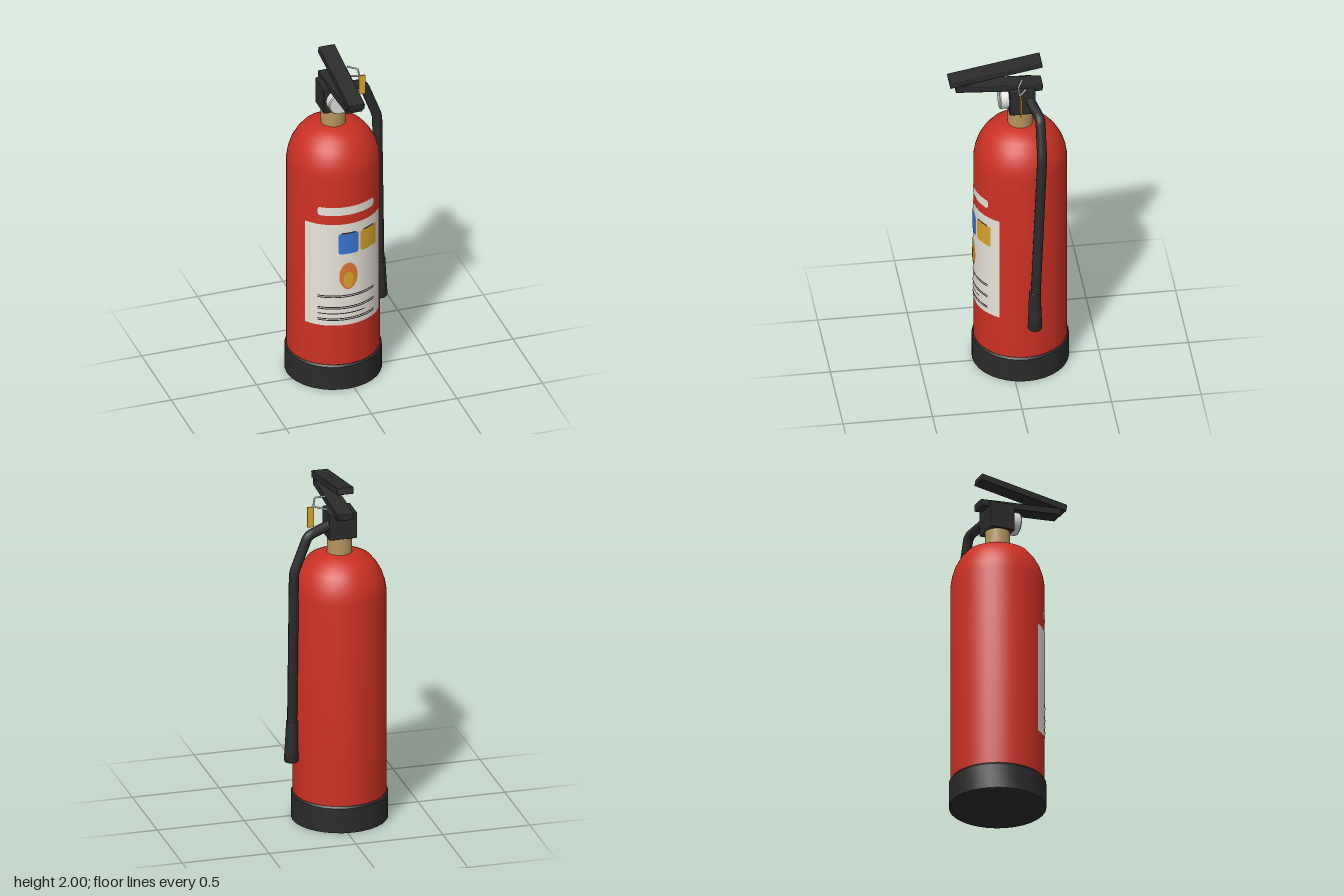
import * as THREE from 'three';
import { toCreasedNormals } from 'three/addons/utils/BufferGeometryUtils.js';
import { RoundedBoxGeometry } from 'three/addons/geometries/RoundedBoxGeometry.js';

const CX = -0.03, CZ = -0.065, R = 0.26; // cylinder axis and radius

const paint = (name, color) => {
  const m = new THREE.MeshStandardMaterial({ color });
  m.name = name;
  return m;
};
const V = (x, y, z) => new THREE.Vector3(x, y, z);

export function createModel() {
  const group = new THREE.Group();
  const red = paint('red enamel', 0xcb3024);
  const black = paint('black rubber', 0x2b2b2b);
  const white = paint('label white', 0xe9e6dc);
  const brass = paint('brass', 0xb8955f);
  const steel = paint('steel', 0xdcdcd8);
  const yellow = paint('yellow', 0xd9a62c);
  const blue = paint('blue', 0x3b76d2);
  const orange = paint('orange', 0xdf7a2e);

  const add = (name, geometry, material, x = 0, y = 0, z = 0) => {
    const mesh = new THREE.Mesh(geometry, material);
    mesh.name = name;
    mesh.position.set(x, y, z);
    group.add(mesh);
    return mesh;
  };
  const lathe = (points, sides) => toCreasedNormals(
    new THREE.LatheGeometry(points.map(p => new THREE.Vector2(...p)), sides), 0.6);

  // Tank, foot and neck
  add('tank', lathe([[R, 0.13], [R, 1.35], [0.252, 1.4], [0.236, 1.45], [0.208, 1.5],
    [0.175, 1.54], [0.105, 1.575], [0, 1.585]], 64), red, CX, 0, CZ);
  add('foot', lathe([[0, 0], [0.27, 0], [0.27, 0.145], [0.262, 0.156], [0.25, 0.156]], 32),
    black, CX, 0, CZ);
  add('neck', new THREE.CylinderGeometry(0.07, 0.07, 0.13, 32), brass, CX, 1.625, CZ);

  // Valve block and pressure gauge
  add('valveBlock', new RoundedBoxGeometry(0.16, 0.155, 0.145, 1, 0.004), black, CX, 1.752, -0.0675);
  const gauge = add('gauge', lathe([[0, -0.03], [0.065, -0.03], [0.065, 0.024],
    [0.06, 0.03], [0, 0.03]], 24), steel, CX, 1.75, 0.026);
  gauge.rotation.x = Math.PI / 2;

  // Carrying handle and squeeze lever
  const bar = (name, z1, y1, z2, y2) => {
    const length = Math.hypot(z2 - z1, y2 - y1);
    const mesh = add(name, new RoundedBoxGeometry(0.096, 0.04, length, 1, 0.004), black,
      CX, (y1 + y2) / 2, (z1 + z2) / 2);
    mesh.rotation.x = -Math.atan2(y2 - y1, z2 - z1);
  };
  bar('carryHandle', -0.185, 1.823, 0.3, 1.856);
  bar('squeezeLever', -0.182, 1.98, 0.335, 1.886);

  // Tubes follow straight runs joined by short rounded bends
  const tube = (name, points, radius, bend, material) => {
    const path = new THREE.CurvePath();
    let from = points[0];
    for (let i = 1; i < points.length; i++) {
      const p = points[i], next = points[i + 1];
      if (!next) { path.add(new THREE.LineCurve3(from, p)); break; }
      const a = p.clone().add(from.clone().sub(p).setLength(bend));
      const b = p.clone().add(next.clone().sub(p).setLength(bend));
      path.add(new THREE.LineCurve3(from, a));
      path.add(new THREE.QuadraticBezierCurve3(a, p, b));
      from = b;
    }
    add(name, new THREE.TubeGeometry(path, 90, radius, 12), material);
  };
  tube('hose', [V(0.02, 1.765, -0.105), V(0.175, 1.725, -0.148), V(0.256, 1.51, -0.147),
    V(0.256, 0.58, -0.11)], 0.028, 0.03, black);

  // Nozzle at the end of the hose
  const nozzle = add('nozzle', lathe([[0, 0], [0.036, 0], [0.041, 0.01], [0.038, 0.07],
    [0.034, 0.19], [0.033, 0.24], [0.027, 0.245]], 16), black, 0.26, 0.37, -0.106);
  nozzle.rotation.z = 0.02;

  // Safety pin and hanging tag
  tube('safetyPin', [V(0.05, 1.912, -0.064), V(0.105, 1.9, -0.036), V(0.115, 1.85, -0.042),
    V(0.045, 1.84, -0.085)], 0.005, 0.01, steel);
  add('pinTag', new THREE.BoxGeometry(0.038, 0.12, 0.007), yellow, 0.131, 1.79, -0.045);

  // Lay a flat geometry around the front of the tank
  const wrap = (name, geometry, material, x, y, lift) => {
    const p = geometry.attributes.position, r = R + lift;
    for (let i = 0; i < p.count; i++) {
      const angle = x / R + p.getX(i) / R;
      p.setXYZ(i, r * Math.sin(angle), y + p.getY(i), r * Math.cos(angle));
    }
    geometry.computeVertexNormals();
    add(name, geometry, material, CX, 0, CZ);
  };
  // Rounded plate given by its edges as seen from the front
  const plate = (name, x1, x2, y1, y2, corner, material, lift) => {
    const a = R * Math.asin((x1 - CX) / (R + lift)), b = R * Math.asin((x2 - CX) / (R + lift));
    const w = b - a, h = y2 - y1;
    const geometry = new THREE.PlaneGeometry(w, h, 48, 1);
    const p = geometry.attributes.position;
    for (let i = 0; i < p.count; i++) {
      const d = Math.max(0, Math.abs(p.getX(i)) - w / 2 + corner);
      const cut = corner - Math.sqrt(Math.max(0, corner * corner - d * d));
      p.setY(i, Math.sign(p.getY(i)) * (h / 2 - cut));
    }
    wrap(name, geometry, material, (a + b) / 2, (y1 + y2) / 2, lift);
  };
  const oval = (name, y, rx, ry, material, lift) => {
    const geometry = new THREE.RingGeometry(0.0001, 1, 32, 4);
    geometry.scale(rx, ry, 1);
    wrap(name, geometry, material, 0, y, lift);
  };

  // Label with pictograms and ruled lines
  plate('label', -0.246, 0.187, 0.41, 1.06, 0, white, 0.002);
  plate('titleStrip', -0.193, 0.136, 1.118, 1.17, 0.015, white, 0.002);
  plate('bluePanel', -0.087, 0.03, 0.868, 1.0, 0.014, blue, 0.004);
  plate('yellowPanel', 0.044, 0.152, 0.868, 1.0, 0.014, yellow, 0.004);
  plate('bluePanelCap', -0.07, 0.015, 0.997, 1.006, 0, black, 0.005);
  plate('yellowPanelCap', 0.063, 0.132, 0.997, 1.006, 0, black, 0.005);
  oval('flame', 0.725, 0.053, 0.085, orange, 0.004);
  oval('flameCore', 0.701, 0.029, 0.05, yellow, 0.006);
  for (const [y, end] of [[0.602, 0.136], [0.592, 0.136], [0.528, 0.136], [0.518, 0.136],
    [0.487, 0.07], [0.455, 0.136], [0.445, 0.136]])
    plate('labelLine', -0.193, end, y - 0.003, y + 0.003, 0, black, 0.004);

  return group;
}
